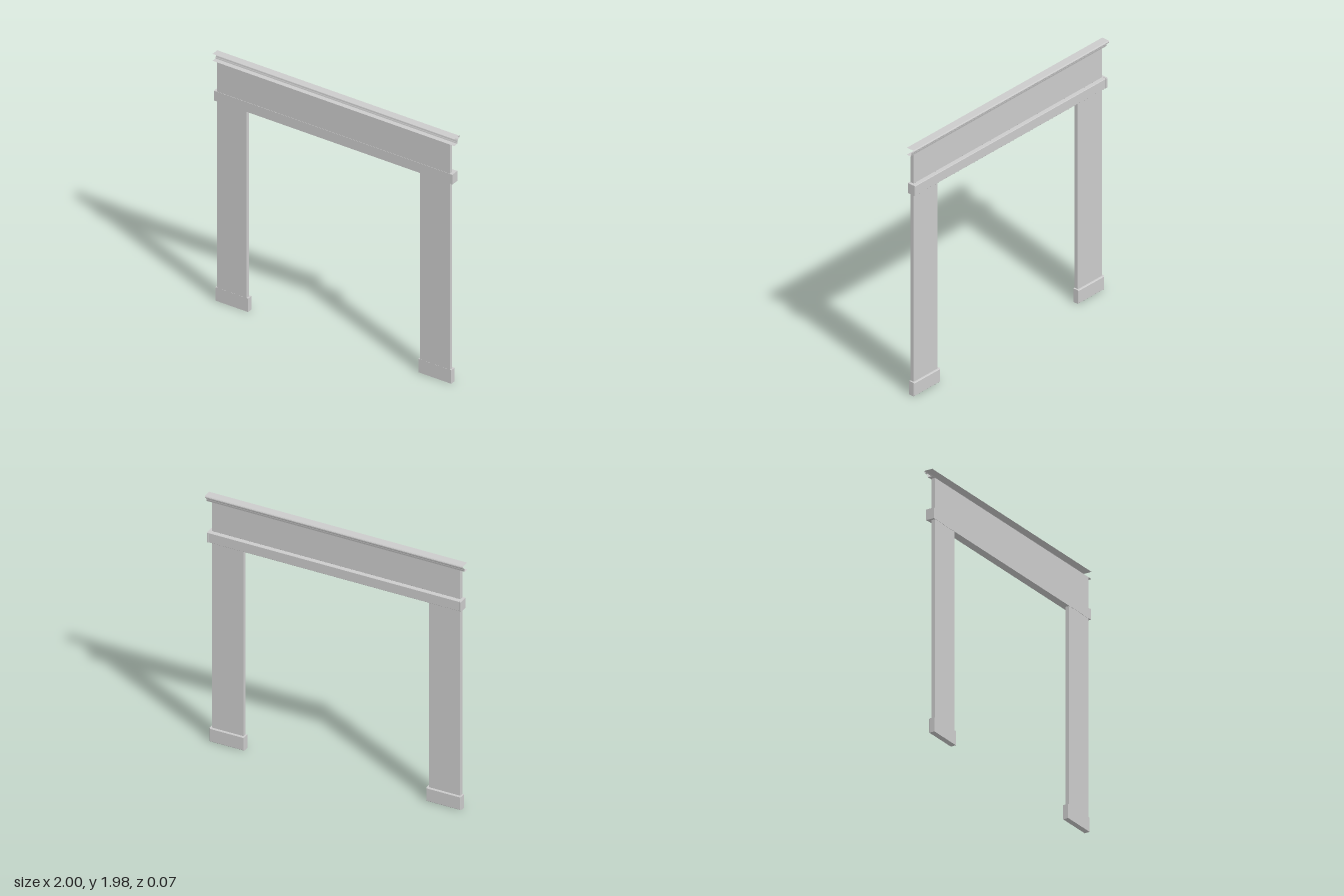
import * as THREE from 'three';

const material = new THREE.MeshStandardMaterial({ color: 0xcccccc, flatShading: true });
const sheetMaterial = new THREE.MeshStandardMaterial({ color: 0xcccccc, side: THREE.DoubleSide });

// Board between two corners, with its edges on the -z face chamfered by b
function board(name, x0, x1, y0, y1, z0, z1, b) {
  const w = x1 - x0, h = y1 - y0, d = z1 - z0;
  const geo = new THREE.BoxGeometry(w, h, d, 1, 1, 2);
  const p = geo.attributes.position;
  for (let i = 0; i < p.count; i++) {
    const z = p.getZ(i);
    if (Math.abs(z) < 1e-5) p.setZ(i, -d / 2 + b);
    else if (z < 0) {
      p.setX(i, Math.sign(p.getX(i)) * (w / 2 - b));
      p.setY(i, Math.sign(p.getY(i)) * (h / 2 - b));
    }
  }
  geo.computeVertexNormals();
  const mesh = new THREE.Mesh(geo, material);
  mesh.name = name;
  mesh.position.set((x0 + x1) / 2, (y0 + y1) / 2, (z0 + z1) / 2);
  return mesh;
}

// Hollow crown moulding: an open profile of [z, y] points run along x
function crown(halfLength) {
  const profile = [[0.03, 1.924], [-0.006, 1.924], [-0.008, 1.932]];
  // cove curving out to the upper lip
  for (let i = 0; i <= 8; i++) {
    const a = (i / 8) * Math.PI / 2;
    profile.push([-0.010 - 0.021 * (1 - Math.cos(a)), 1.936 + 0.026 * Math.sin(a)]);
  }
  profile.push([-0.034, 1.966], [-0.034, 1.973], [-0.029, 1.979], [0.03, 1.979]);
  const pos = [], index = [];
  for (let i = 0; i < profile.length - 1; i++) {
    for (const [z, y] of [profile[i], profile[i + 1]]) pos.push(-halfLength, y, z, halfLength, y, z);
    const k = i * 4;
    index.push(k, k + 2, k + 1, k + 1, k + 2, k + 3);
  }
  const geo = new THREE.BufferGeometry();
  geo.setAttribute('position', new THREE.Float32BufferAttribute(pos, 3));
  geo.setIndex(index);
  geo.computeVertexNormals();
  const mesh = new THREE.Mesh(geo, sheetMaterial);
  mesh.name = 'crownMoulding';
  return mesh;
}

export function createModel() {
  const group = new THREE.Group();
  group.name = 'doorSurround';

  // Side casings with plinth blocks, and the end blocks of the band
  for (const [side, s] of [['left', 1], ['right', -1]]) {
    const pair = (name, a, b, ...rest) =>
      group.add(board(side + name, Math.min(s * a, s * b), Math.max(s * a, s * b), ...rest));
    pair('Casing', 0.718, 0.964, 0.1, 1.612, 0, 0.03, 0.002);
    pair('Plinth', 0.705, 0.975, 0, 0.108, -0.015, 0.031, 0.005);
    pair('BandEnd', 0.97, 0.986, 1.61, 1.69, -0.033, 0.034, 0.003);
  }

  // Header: band, frieze panel and crown
  group.add(board('band', -0.971, 0.971, 1.611, 1.689, -0.031, 0.032, 0.003));
  group.add(board('friezePanel', -0.964, 0.964, 1.688, 1.924, 0, 0.03, 0.002));
  group.add(crown(1));
  return group;
}
